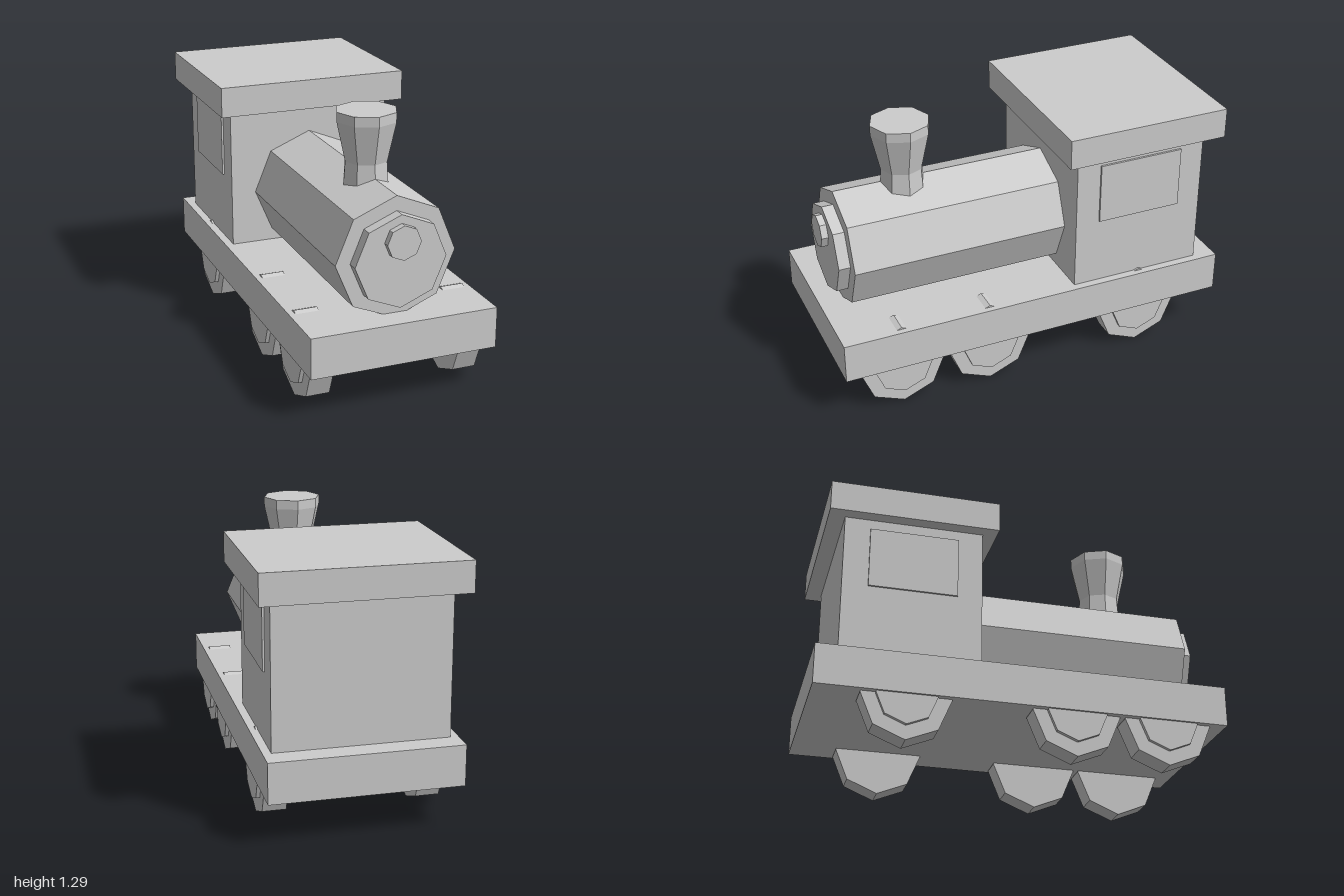
import * as THREE from 'three';

export function createModel() {
  const model = new THREE.Group();
  model.name = 'toyLocomotive';
  const grey = new THREE.MeshStandardMaterial({ color: 0xcccccc });
  grey.name = 'plain grey';

  function add(name, geometry) {
    const flat = geometry.toNonIndexed(); // faceted, hard-edged look
    flat.computeVertexNormals();
    const mesh = new THREE.Mesh(flat, grey);
    mesh.name = name;
    model.add(mesh);
  }

  // Box given by its lower and upper bounds on each axis
  function box(name, x0, x1, y0, y1, z0, z1) {
    const g = new THREE.BoxGeometry(x1 - x0, y1 - y0, z1 - z0);
    add(name, g.translate((x0 + x1) / 2, (y0 + y1) / 2, (z0 + z1) / 2));
  }

  // Octagonal drum lying along z
  function drumZ(name, r, y, z0, z1) {
    const g = new THREE.CylinderGeometry(r, r, z1 - z0, 8).rotateX(Math.PI / 2);
    add(name, g.translate(0, y, (z0 + z1) / 2));
  }

  // Octagonal drum lying along x
  function drumX(name, r, x0, x1, y, z) {
    const g = new THREE.CylinderGeometry(r, r, x1 - x0, 8).rotateZ(Math.PI / 2);
    add(name, g.translate((x0 + x1) / 2, y, z));
  }

  // Chassis, cab and roof
  box('chassis', -0.46, 0.46, 0.22, 0.42, -1, 1);
  box('cab', -0.42, 0.42, 0.42, 1.12, -0.89, -0.21);
  box('roof', -0.485, 0.485, 1.12, 1.27, -0.97, -0.14);

  // Boiler with its front door and lamp
  drumZ('boiler', 0.295, 0.69, -0.21, 0.875);
  drumZ('boilerDoor', 0.224, 0.69, 0.875, 0.932);
  drumZ('lamp', 0.083, 0.79, 0.932, 0.965);

  // Flared chimney with a closed top
  const profile = [[0, 0.9], [0.116, 0.9], [0.105, 1.05], [0.148, 1.243], [0.148, 1.29], [0, 1.29]];
  const chimney = new THREE.LatheGeometry(profile.map(([r, y]) => new THREE.Vector2(r, y)), 8);
  add('chimney', chimney.translate(0, 0, 0.525));

  // Side windows and wheels, mirrored left and right
  for (const [side, s] of [['left', 1], ['right', -1]]) {
    const span = (a, b) => (s > 0 ? [a, b] : [-b, -a]);
    box(side + 'Window', ...span(0.42, 0.43), 0.762, 1.068, -0.765, -0.332);
    for (const z of [0.705, 0.25, -0.565]) {
      drumX(side + 'Wheel', 0.215, ...span(0.315, 0.43), 0.215, z);
      drumX(side + 'Hub', 0.145, ...span(0.43, 0.449), 0.215, z);
    }
  }
  return model;
}
